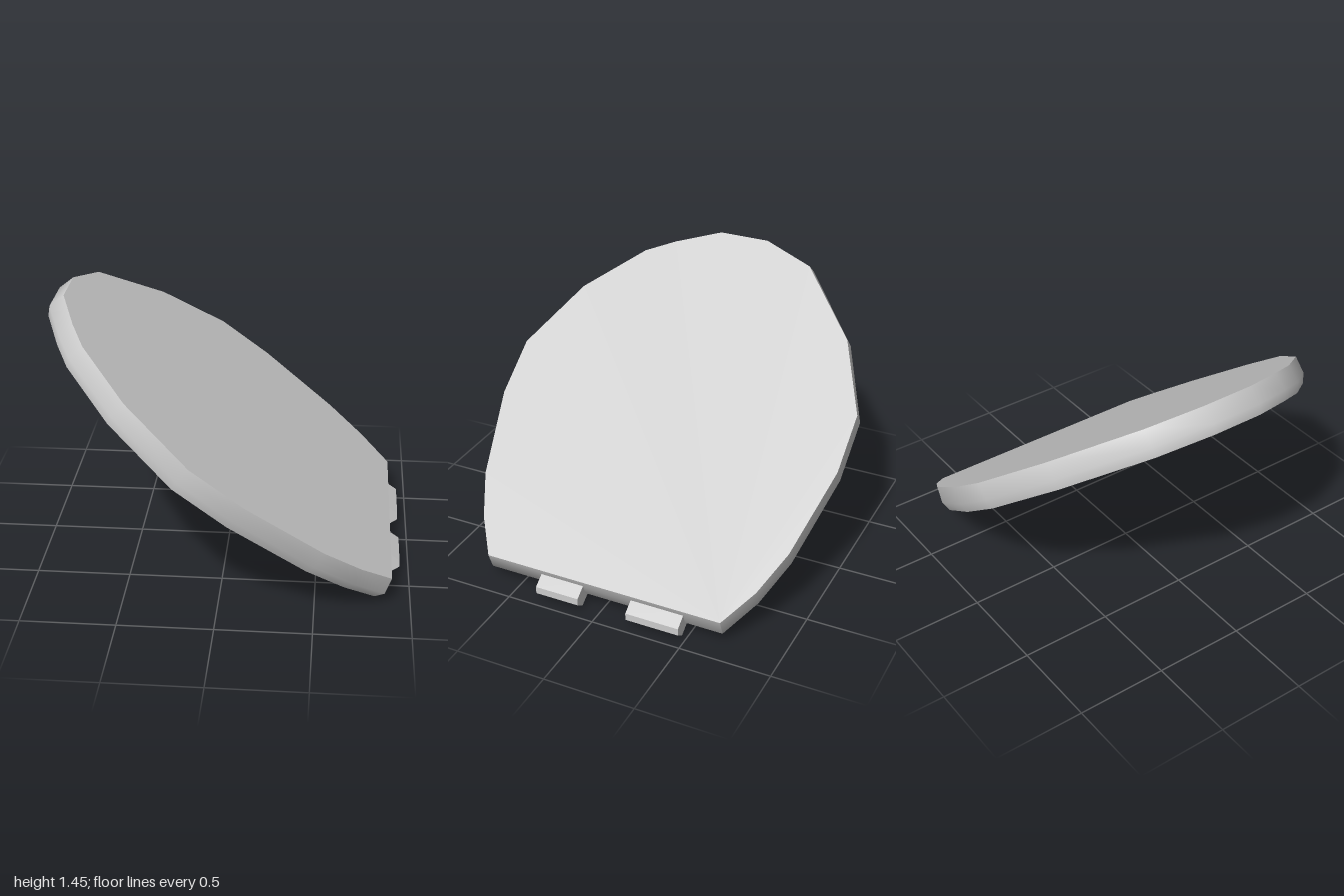
import * as THREE from 'three';
import { toCreasedNormals } from 'three/addons/utils/BufferGeometryUtils.js';

const material = new THREE.MeshStandardMaterial({ color: 0xcccccc });

// Lid outline in its own plane (length, width), counter-clockwise from above
const OUTLINE = [
  [1.096, -0.68], [0.897, -0.805], [0.655, -0.9], [0.165, -1], [-0.17, -1],
  [-0.587, -0.81], [-0.985, -0.46], [-1.096, -0.17], [-1.096, 0.115],
  [-0.985, 0.36], [-0.891, 0.52], [-0.587, 0.8], [-0.17, 1], [0.165, 1],
  [0.655, 0.9], [0.897, 0.8], [1.096, 0.68],
];

// Rim cross-section: depth, length scale, width scale
const RINGS = [[0, 1, 1], [-0.095, 1.024, 1], [-0.147, 1, 0.98]];

function lidGeometry() {
  const n = OUTLINE.length;
  const positions = [];
  const index = [];
  for (const [depth, su, sz] of RINGS) {
    for (const [u, z] of OUTLINE) positions.push(u * su, depth, z * sz);
  }
  // rim bands
  for (let r = 0; r < RINGS.length - 1; r++) {
    for (let i = 0; i < n; i++) {
      const j = (i + 1) % n;
      const a = r * n + i, b = a + n, c = (r + 1) * n + j, d = r * n + j;
      index.push(a, b, c, a, c, d);
    }
  }
  // upper and lower faces
  const base = (RINGS.length - 1) * n;
  for (let i = 1; i < n - 1; i++) {
    index.push(0, i, i + 1);
    index.push(base, base + i + 1, base + i);
  }
  const geometry = new THREE.BufferGeometry();
  geometry.setAttribute('position', new THREE.Float32BufferAttribute(positions, 3));
  geometry.setIndex(index);
  return toCreasedNormals(geometry, 0.85);
}

// Hinge knuckle: a chamfered bar running along z
function hinge(name, z0, z1) {
  const profile = new THREE.Shape([
    [0.8, 0.08], [0.84, 0.04], [0.9, 0], [0.95, 0.035], [0.95, 0.075], [0.87, 0.13],
  ].map(([x, y]) => new THREE.Vector2(x, y)));
  const geometry = new THREE.ExtrudeGeometry(profile, { depth: z1 - z0, bevelEnabled: false });
  const mesh = new THREE.Mesh(geometry, material);
  mesh.name = name;
  mesh.position.z = z0;
  return mesh;
}

export function createModel() {
  const model = new THREE.Group();
  model.name = 'hingedLid';

  // tilted lid slab
  const lid = new THREE.Mesh(lidGeometry(), material);
  lid.name = 'lid';
  lid.position.set(0.0175, 0.8, 0);
  lid.rotation.z = -0.635;
  model.add(lid);

  // two knuckles on the low straight edge
  model.add(hinge('hingeBack', -0.47, -0.17), hinge('hingeFront', 0.11, 0.36));
  return model;
}
